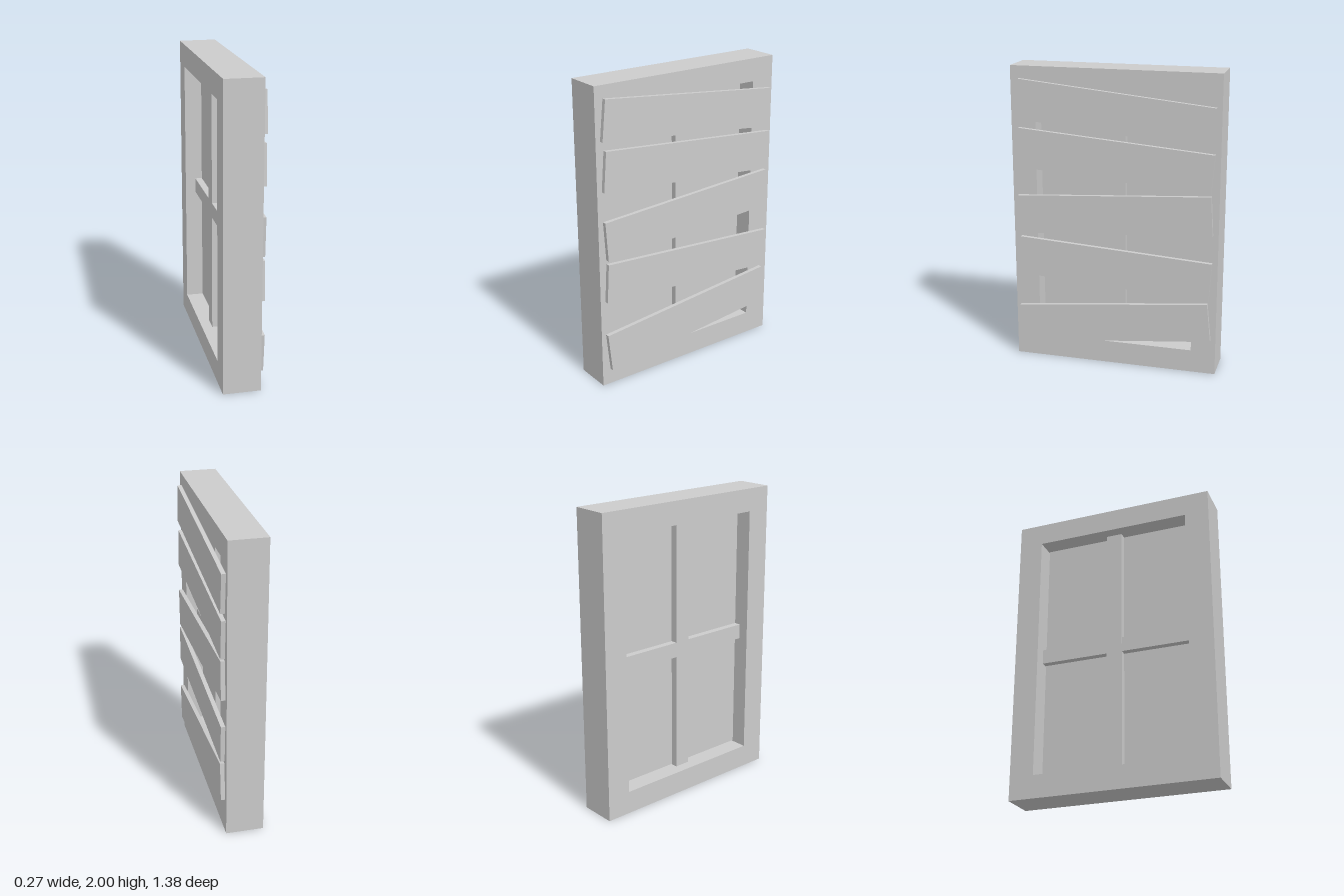
import * as THREE from 'three';

export function createModel() {
  const model = new THREE.Group();
  const material = new THREE.MeshStandardMaterial({ color: 0xcccccc, flatShading: true });

  function add(name, geometry, x, y, z, tilt = 0) {
    const mesh = new THREE.Mesh(geometry, material);
    mesh.name = name;
    mesh.position.set(x, y, z);
    mesh.rotation.x = tilt;
    model.add(mesh);
  }

  // Frame: rectangle with an opening, extruded along x
  const outline = new THREE.Shape([[-0.69, 0], [0.69, 0], [0.69, 2], [-0.69, 2]]
    .map(p => new THREE.Vector2(...p)));
  outline.holes.push(new THREE.Path([[-0.527, 0.153], [-0.527, 1.848], [0.527, 1.848], [0.527, 0.153]]
    .map(p => new THREE.Vector2(...p))));
  const frame = new THREE.ExtrudeGeometry(outline, { depth: 0.246, bevelEnabled: false });
  frame.rotateY(Math.PI / 2);
  add('frame', frame, -0.138, 0, 0);

  // Pane, leaving a hairline gap at the top, bottom and rear edge
  add('pane', new THREE.BoxGeometry(0.02, 1.68, 1.042), -0.015, 1, 0.006);

  // Crossing glazing bars
  add('verticalBar', new THREE.BoxGeometry(0.105, 1.685, 0.107), -0.018, 1, -0.005);
  add('horizontalBar', new THREE.BoxGeometry(0.104, 0.1, 1.045), -0.018, 1, 0.004);

  // Boards nailed crookedly across the opening: centre height, rise towards +z
  const boards = [[1.725, 0.13], [1.418, 0.105], [1.055, -0.08], [0.69, 0.08], [0.304, -0.133]];
  const board = new THREE.BoxGeometry(0.028, 0.26, 1.297);
  boards.forEach(([y, rise], i) => add('board' + (i + 1), board, 0.122, y, 0, -Math.atan(rise / 1.293)));

  return model;
}
